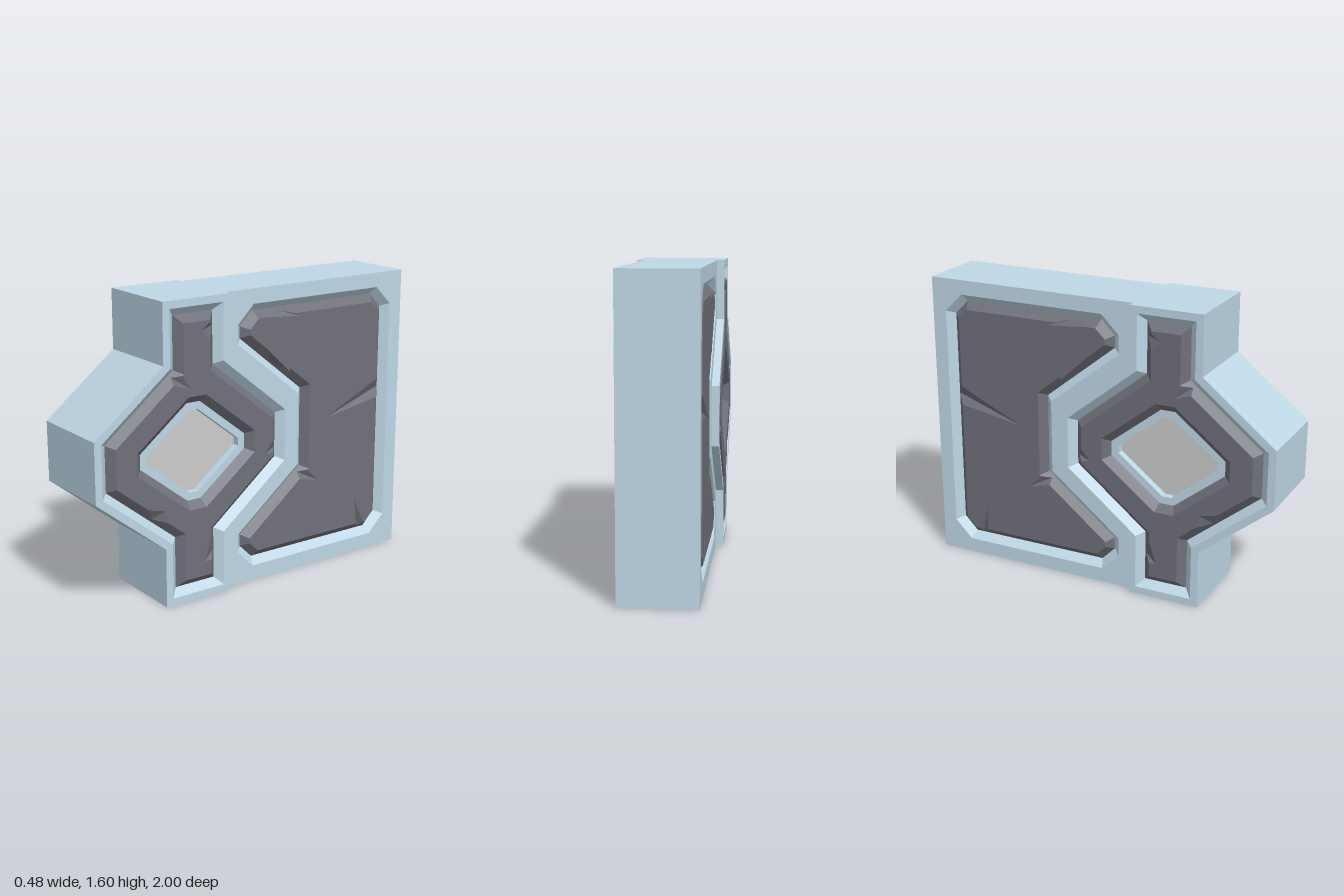
import * as THREE from 'three';

const FRAME = new THREE.MeshStandardMaterial({ color: 0xbed7e6, flatShading: true });
const ROCK = new THREE.MeshStandardMaterial({ color: 0x6f7079, flatShading: true });
const PANEL = new THREE.MeshStandardMaterial({ color: 0xcccccc, flatShading: true });

// Outlines are [z, y] loops, counter-clockwise
const bandOutline = [[0.2, 0], [0.6, 0], [0.6, 0.32], [1, 0.64], [1, 0.96], [0.6, 1.28],
  [0.6, 1.6], [0.2, 1.6], [0.2, 1.28], [-0.2, 0.96], [-0.2, 0.64], [0.2, 0.32]];
const slabOutline = [[-1, 0], [0.2, 0], [0.2, 0.32], [-0.2, 0.64], [-0.2, 0.96], [0.2, 1.28], [0.2, 1.6], [-1, 1.6]];
const slabRecess = [[-0.82, 0.08], [0.02, 0.08], [0.12, 0.18], [0.12, 0.28], [-0.28, 0.6], [-0.28, 1],
  [0.12, 1.32], [0.12, 1.42], [0.02, 1.52], [-0.82, 1.52], [-0.92, 1.42], [-0.92, 0.18]];
const hubOutline = [[0.36, 0.54], [0.44, 0.54], [0.72, 0.76], [0.72, 0.84],
  [0.44, 1.06], [0.36, 1.06], [0.08, 0.84], [0.08, 0.76]];

// Chips in the stone: edge index -> [start, end along the edge, tip z, tip y]
const slabChips = {
  0: [0.02, 0.1, -0.7, 0.31], 3: [0.85, 0.98, -0.43, 0.48], 5: [0.35, 0.75, -0.22, 1.13],
  8: [0.05, 0.3, -0.3, 1.42], 10: [0.33, 0.42, -0.47, 0.83],
};
const bandChips = {
  2: [0.25, 0.55, 0.6, 0.53], 4: [0.85, 0.98, 0.44, 1.14], 7: [0.05, 0.4, 0.37, 1.43],
  9: [0.6, 0.95, -0.03, 0.72], 11: [0.2, 0.7, 0.36, 0.2],
};

// Move every edge of a loop inward by d (outward when negative)
function inset(loop, d) {
  const n = loop.length;
  const normal = (a, b) => {
    const l = Math.hypot(b[0] - a[0], b[1] - a[1]);
    return [-(b[1] - a[1]) / l, (b[0] - a[0]) / l];
  };
  return loop.map((p, i) => {
    const m = normal(loop[(i + n - 1) % n], p), q = normal(p, loop[(i + 1) % n]);
    const k = d / (1 + m[0] * q[0] + m[1] * q[1]);
    return [p[0] + (m[0] + q[0]) * k, p[1] + (m[1] + q[1]) * k];
  });
}

const at = (loop, x) => loop.map(([z, y]) => [z, y, x]);
const mix = (a, b, t) => a.map((v, i) => v + (b[i] - v) * t);

// Triangulate a [z, y, x] contour so that it faces the given side
function patch(out, side, contour, holes = []) {
  const flat = (l) => l.map((p) => new THREE.Vector2(p[0], p[1]));
  const pts = [contour, ...holes].flat();
  for (const f of THREE.ShapeUtils.triangulateShape(flat(contour), holes.map(flat))) {
    let [a, b, c] = f.map((i) => pts[i]);
    const area = (b[0] - a[0]) * (c[1] - a[1]) - (b[1] - a[1]) * (c[0] - a[0]);
    if (area * side > 0) [b, c] = [c, b];
    for (const p of [a, b, c]) out.push(p[2] * side, p[1], p[0]);
  }
}

// Sloped band between two matching loops
function slope(out, side, A, B) {
  A.forEach((a, i) => {
    const j = (i + 1) % A.length;
    patch(out, side, [a, A[j], B[j], B[i]]);
  });
}

// Straight wall along x; faces out of a counter-clockwise path when x1 > x0
function wall(out, path, x0, x1, closed = true) {
  const n = path.length;
  for (let i = 0; i < (closed ? n : n - 1); i++) {
    const [az, ay] = path[i], [bz, by] = path[(i + 1) % n];
    out.push(x0, ay, az, x1, ay, az, x1, by, bz, x0, ay, az, x1, by, bz, x0, by, bz);
  }
}

// Raised stone: bevelled border rising from the groove, notched by chips
function stone(out, side, foot, crest, chips, holes) {
  const top = [], n = foot.length;
  foot.forEach((a, i) => {
    const j = (i + 1) % n, c0 = crest[i], c1 = crest[j], chip = chips[i];
    top.push(c0);
    if (!chip) return patch(out, side, [a, foot[j], c1, c0]);
    const [t0, t1, tz, ty] = chip;
    const p1 = mix(c0, c1, t0), p2 = mix(c0, c1, t1), tip = [tz, ty, c0[2]];
    const tm = (t0 + t1) / 2;
    const deep = mix(mix(c0, c1, tm), mix(a, foot[j], tm), 0.7);
    patch(out, side, [a, foot[j], c1, p2, deep, p1, c0]);
    patch(out, side, [p1, deep, tip]);
    patch(out, side, [deep, p2, tip]);
    top.push(p1, tip, p2);
  });
  patch(out, side, top, holes);
}

function addMesh(group, name, material, fill) {
  const out = [];
  fill(out);
  const g = new THREE.BufferGeometry();
  g.setAttribute('position', new THREE.Float32BufferAttribute(out, 3));
  g.computeVertexNormals();
  const mesh = new THREE.Mesh(g, material);
  mesh.name = name;
  group.add(mesh);
}

export function createModel() {
  const group = new THREE.Group();
  group.name = 'stoneWallSegment';
  const sides = [1, -1];
  const bandX = 0.24, slabX = 0.2, depth = 0.04;
  const bandRecess = inset(bandOutline, 0.04);
  const bandFoot = at(inset(bandRecess, 0.04), bandX - depth);
  const slabFoot = at(inset(slabRecess, 0.04), slabX - depth);
  const hubFoot = at(hubOutline, bandX - depth);
  const hubCrest = at(inset(hubOutline, -0.04), bandX);
  const panelLoop = inset(hubOutline, 0.04);

  // Thick front band with its bevelled recess
  addMesh(group, 'frontBand', FRAME, (out) => {
    wall(out, bandOutline, -bandX, bandX);
    for (const s of sides) {
      patch(out, s, at(bandOutline, bandX), [at(bandRecess, bandX)]);
      slope(out, s, at(bandRecess, bandX), bandFoot);
    }
  });

  // Thinner rear slab with its bevelled recess
  addMesh(group, 'rearSlab', FRAME, (out) => {
    wall(out, [[0.2, 1.6], [-1, 1.6], [-1, 0], [0.2, 0]], -slabX, slabX, false);
    for (const s of sides) {
      patch(out, s, at(slabOutline, slabX), [at(slabRecess, slabX)]);
      slope(out, s, at(slabRecess, slabX), slabFoot);
    }
  });

  // Chipped stone inlays
  addMesh(group, 'bandStone', ROCK, (out) => {
    for (const s of sides) {
      stone(out, s, bandFoot, at(inset(bandRecess, 0.08), bandX), bandChips, [hubCrest]);
      slope(out, s, hubCrest, hubFoot);
    }
  });
  addMesh(group, 'slabStone', ROCK, (out) => {
    for (const s of sides) stone(out, s, slabFoot, at(inset(slabRecess, 0.08), slabX), slabChips, []);
  });

  // Diamond window: flat rim, inner wall and sunken panel
  addMesh(group, 'windowRim', FRAME, (out) => {
    for (const s of sides) patch(out, s, hubFoot, [at(panelLoop, bandX - depth)]);
    wall(out, panelLoop, 0.2, 0.16);
    wall(out, panelLoop, -0.16, -0.2);
  });
  addMesh(group, 'windowPanel', PANEL, (out) => {
    for (const s of sides) patch(out, s, at(panelLoop, 0.16));
  });
  return group;
}
